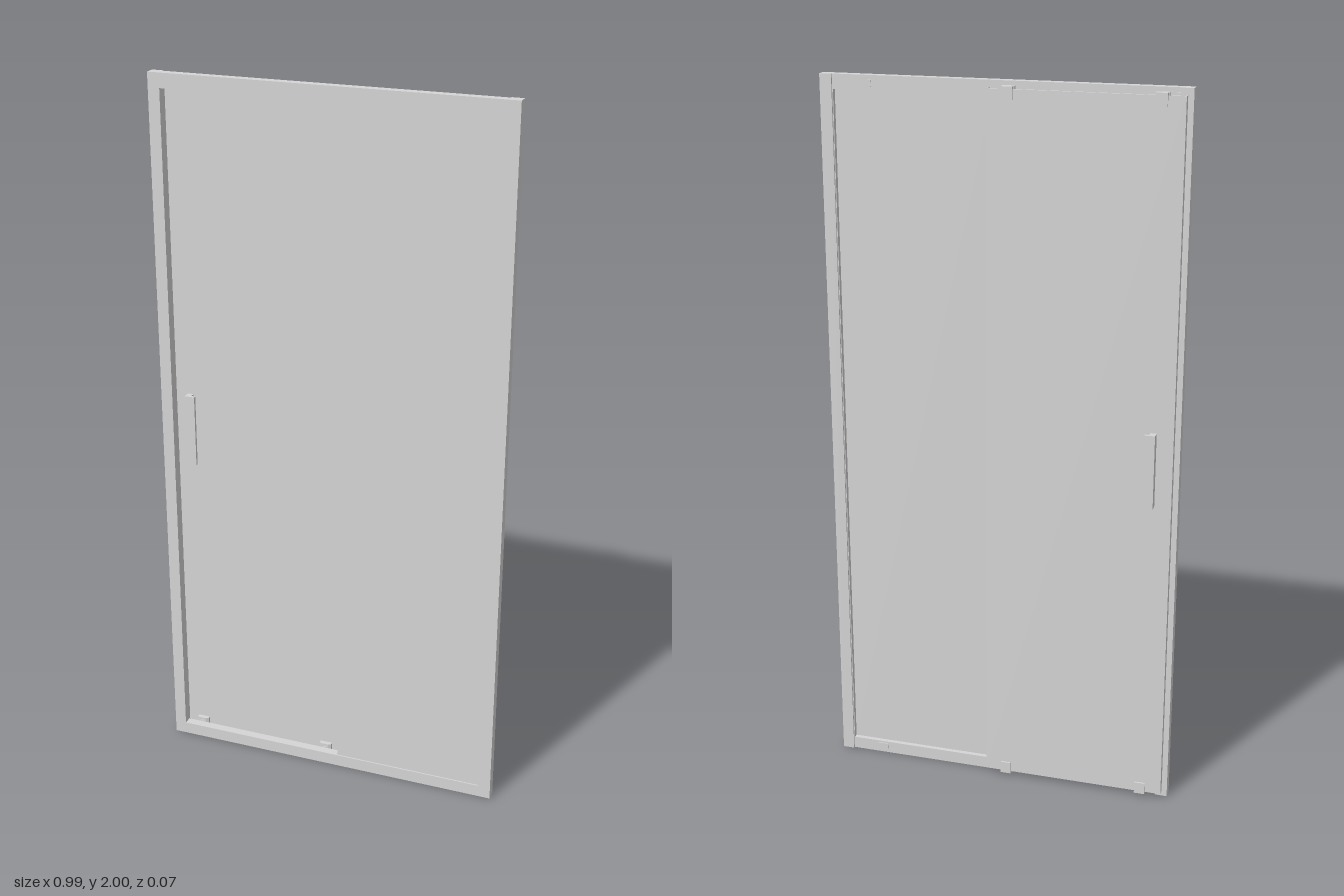
import * as THREE from 'three';

export function createModel() {
  const model = new THREE.Group();
  model.name = 'slidingDoorEnclosure';
  const grey = new THREE.MeshStandardMaterial({ color: 0xd5d5d5 });
  grey.name = 'light grey';

  const add = (name, geometry, parent = model) => {
    const mesh = new THREE.Mesh(geometry, grey);
    mesh.name = name;
    parent.add(mesh);
    return mesh;
  };
  // Box given by its lower and upper limits on each axis
  const box = (name, x0, x1, y0, y1, z0, z1, parent) => {
    const mesh = add(name, new THREE.BoxGeometry(x1 - x0, y1 - y0, z1 - z0), parent);
    mesh.position.set((x0 + x1) / 2, (y0 + y1) / 2, (z0 + z1) / 2);
    return mesh;
  };
  const rect = (target, x0, x1, y0, y1) => {
    target.moveTo(x0, y0).lineTo(x1, y0).lineTo(x1, y1).lineTo(x0, y1).closePath();
    return target;
  };

  // Outer frame with one large opening
  const frame = rect(new THREE.Shape(), -0.495, 0.495, 0, 2);
  frame.holes.push(rect(new THREE.Path(), -0.462, 0.46, 0.035, 1.96));
  add('frame', new THREE.ExtrudeGeometry(frame, { depth: 0.025, bevelEnabled: false })).position.z = 0.01;

  // Thicker backs of the side posts
  box('rightPostBack', -0.495, -0.462, 0, 2, 0.005, 0.01);
  box('leftPostBack', 0.462, 0.495, 0, 2, 0.005, 0.01);

  // Small joining clips on the backs of the rails
  for (const y of [0.012, 1.97]) {
    box('railClip', -0.462, -0.43, y, y + 0.018, 0.007, 0.01);
    box('railClip', 0.354, 0.384, y, y + 0.018, 0.007, 0.01);
  }

  // Fixed pane, set slightly back from the front of the frame
  box('fixedPane', 0.028, 0.46, 0.035, 1.96, 0.023, 0.031);

  // Sliding pane behind the frame, with its edge seals
  const door = new THREE.Group();
  door.name = 'slidingDoor';
  model.add(door);
  box('slidingPane', -0.48, 0.038, 0.015, 1.982, -0.014, -0.008, door);
  box('overlapSeal', 0.031, 0.034, 0.015, 1.982, -0.008, 0.009, door);
  box('closingSeal', -0.48, -0.476, 0.015, 1.982, -0.008, 0.004, door);

  // Rollers at the corners: a clamp through the pane and a wheel on the rail
  for (const x of [-0.419, -0.021]) {
    for (const y of [0.027, 1.972]) {
      const clamp = new THREE.Shape();
      [[-0.015, 0.019], [0.015, 0.019], [0.015, 0.008], [0.018, 0.006], [0.018, -0.001],
        [0.01, -0.005], [-0.01, -0.005], [-0.018, -0.001], [-0.018, 0.006], [-0.015, 0.008]]
        .forEach(([px, py], i) => (i ? clamp.lineTo(px, py) : clamp.moveTo(px, py)));
      const body = add('rollerClamp', new THREE.ExtrudeGeometry(clamp, { depth: 0.034, bevelEnabled: false }), door);
      body.rotation.x = -Math.PI / 2;
      body.position.set(x, y - 0.017, 0);
      const wheel = add('rollerWheel', new THREE.CylinderGeometry(0.01, 0.01, 0.005, 24), door);
      wheel.rotation.x = Math.PI / 2;
      wheel.position.set(x, y, 0.0065);
    }
  }

  // L-section pull handles on both sides of the sliding pane
  for (const s of [-1, 1]) {
    const grip = new THREE.Group();
    grip.name = s < 0 ? 'backHandle' : 'frontHandle';
    const span = (a, b) => [-0.011 + s * a, -0.011 + s * b].sort((p, q) => p - q);
    box('gripBar', -0.434, -0.405, 0.895, 1.102, ...span(0.0175, 0.0255), grip);
    box('gripStem', -0.434, -0.417, 0.895, 1.102, ...span(0.003, 0.0175), grip);
    door.add(grip);
  }
  return model;
}
